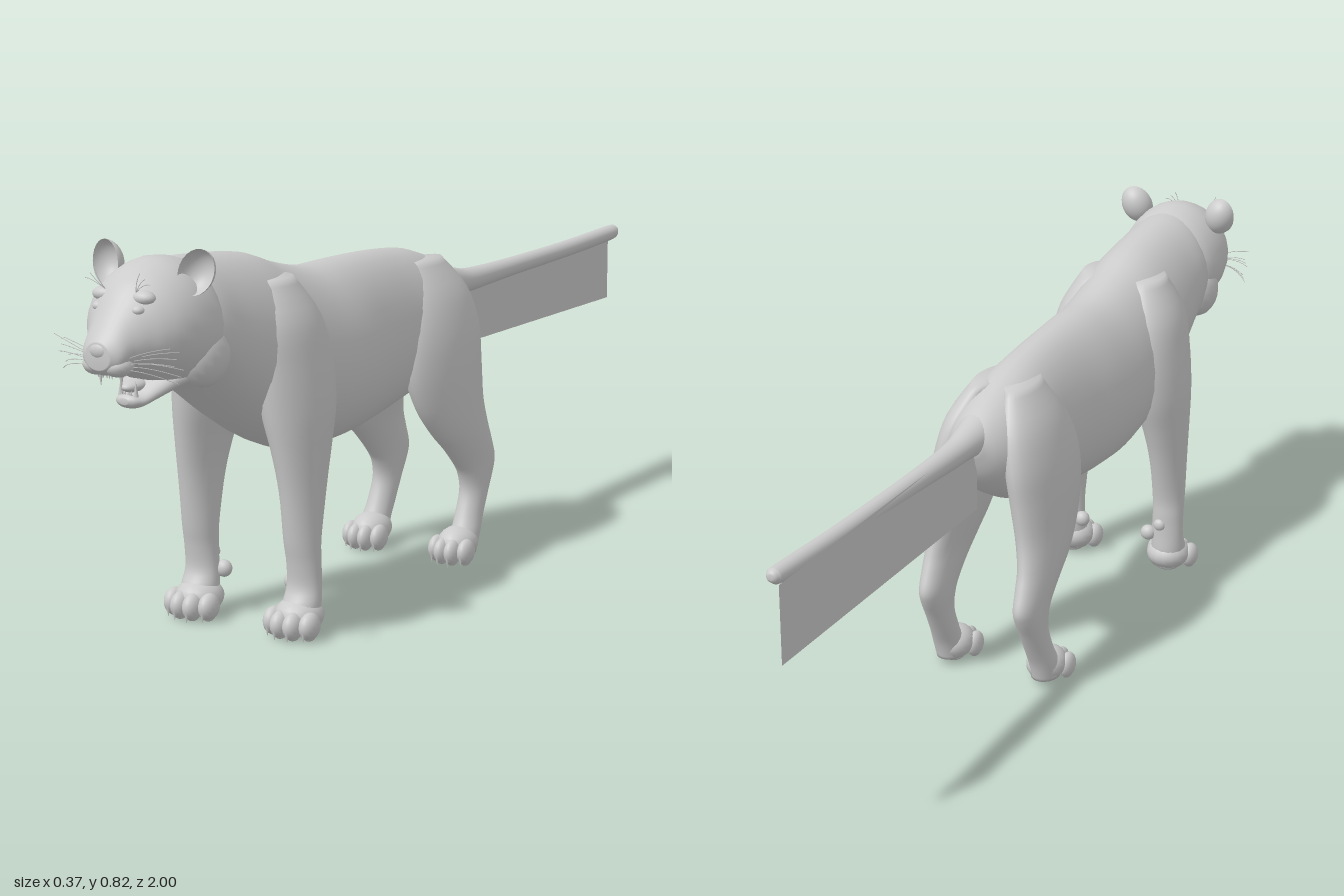
import * as THREE from 'three';

const grey = new THREE.MeshStandardMaterial({ color: 0xcccccc });
const greyDouble = new THREE.MeshStandardMaterial({ color: 0xcccccc, side: THREE.DoubleSide });
const SIDES = 28, STEPS = 4;

function add(parent, name, geometry, material = grey) {
  const mesh = new THREE.Mesh(geometry, material);
  mesh.name = name;
  parent.add(mesh);
  return mesh;
}

function catmull(a, b, c, d, t) {
  return 0.5 * (2 * b + (c - a) * t + (2 * a - 5 * b + 4 * c - d) * t * t + (3 * b - a - 3 * c + d) * t ** 3);
}

// Smooth closed skin through the rows; ring(row, angle) gives a point on each cross-section
function loft(rows, ring) {
  const fine = [], last = rows.length - 1;
  for (let i = 0; i < last; i++)
    for (let k = 0; k < STEPS; k++)
      fine.push(rows[i].map((v, c) => catmull(rows[Math.max(i - 1, 0)][c], v, rows[i + 1][c],
        rows[Math.min(i + 2, last)][c], k / STEPS)));
  fine.push(rows[last]);
  const pos = [], index = [];
  for (const row of fine)
    for (let j = 0; j < SIDES; j++) pos.push(...ring(row, j / SIDES * Math.PI * 2));
  const n = fine.length, start = n * SIDES;
  for (const row of [fine[0], fine[n - 1]]) {
    const p = ring(row, 0), q = ring(row, Math.PI);
    pos.push(...p.map((v, i) => (v + q[i]) / 2));
  }
  for (let j = 0; j < SIDES; j++) {
    const k = (j + 1) % SIDES, top = (n - 1) * SIDES;
    for (let i = 0; i < n - 1; i++) {
      const a = i * SIDES + j, b = i * SIDES + k;
      index.push(a, b, b + SIDES, a, b + SIDES, a + SIDES);
    }
    index.push(start, k, j, start + 1, top + j, top + k);
  }
  const g = new THREE.BufferGeometry();
  g.setAttribute('position', new THREE.Float32BufferAttribute(pos, 3));
  g.setIndex(index);
  g.computeVertexNormals();
  return g;
}

// Rows [z, top, bottom, halfWidth], narrower upward by taper
const loftZ = (rows, taper = 0) => loft(rows, ([z, t, b, w], a) =>
  [w * Math.cos(a) * (1 - taper * Math.sin(a)), (t + b) / 2 + (t - b) / 2 * Math.sin(a), z]);

// Rows [y, zBack, zFront, xInner, xOuter], placed on side s
const loftY = (rows, s) => loft(rows, ([y, z0, z1, x0, x1], a) =>
  [s * (x0 + x1) / 2 + (x1 - x0) / 2 * Math.cos(a), y, (z0 + z1) / 2 - (z1 - z0) / 2 * Math.sin(a)]);

function ball(parent, name, [x, y, z], [rx, ry, rz]) {
  const g = new THREE.SphereGeometry(1, 18, 12).scale(rx, ry, rz);
  add(parent, name, g).position.set(x, y, z);
}

function hair(parent, name, from, mid, to) {
  const curve = new THREE.QuadraticBezierCurve3(...[from, mid, to].map(p => new THREE.Vector3(...p)));
  add(parent, name, new THREE.TubeGeometry(curve, 6, 0.0008, 3));
}

function cone(parent, name, [x, y, z], r, h, down) {
  const mesh = add(parent, name, new THREE.ConeGeometry(r, h, 8));
  mesh.position.set(x, y, z);
  if (down) mesh.rotation.x = Math.PI;
}

// Foot with four toes, claws and underside pads; z is the middle of the foot
function paw(parent, name, s, x, z, k) {
  const g = new THREE.Group();
  g.name = name;
  g.position.set(s * x, 0, z);
  parent.add(g);
  ball(g, 'foot', [0, 0.045, -0.005], [0.05 * k, 0.037, 0.052]);
  ball(g, 'heelPad', [0, 0.018, -0.012], [0.03 * k, 0.014, 0.025]);
  [-0.043, -0.015, 0.015, 0.043].forEach((tx, i) => {
    const forward = i % 3 ? 0.038 : 0.022;
    ball(g, 'toe', [tx * k, 0.034, forward], [0.019 * k, 0.028, 0.028]);
    ball(g, 'toePad', [tx * k, 0.013, forward], [0.011 * k, 0.009, 0.015]);
    cone(g, 'claw', [tx * k, 0.016, forward + 0.022], 0.005, 0.022, true);
  });
}

const bodyRows = [
  [-0.235, 0.605, 0.56, 0.025], [-0.21, 0.628, 0.50, 0.06], [-0.15, 0.657, 0.44, 0.09],
  [-0.05, 0.69, 0.39, 0.105], [0.05, 0.704, 0.365, 0.105], [0.15, 0.709, 0.348, 0.112],
  [0.25, 0.71, 0.338, 0.125], [0.35, 0.712, 0.338, 0.13], [0.45, 0.735, 0.355, 0.13],
  [0.53, 0.762, 0.39, 0.13], [0.60, 0.775, 0.43, 0.125], [0.68, 0.784, 0.485, 0.117],
  [0.75, 0.788, 0.535, 0.112], [0.81, 0.785, 0.565, 0.09]];
const headRows = [
  [0.72, 0.765, 0.57, 0.085], [0.76, 0.788, 0.55, 0.114], [0.82, 0.798, 0.55, 0.12],
  [0.87, 0.787, 0.57, 0.112], [0.905, 0.768, 0.588, 0.094], [0.93, 0.745, 0.596, 0.073],
  [0.955, 0.712, 0.597, 0.055], [0.98, 0.678, 0.598, 0.045], [0.995, 0.66, 0.61, 0.028]];
const jawRows = [
  [0.80, 0.61, 0.55, 0.085], [0.84, 0.595, 0.538, 0.066], [0.87, 0.572, 0.528, 0.048],
  [0.895, 0.552, 0.521, 0.034], [0.912, 0.549, 0.524, 0.024], [0.92, 0.543, 0.531, 0.01]];
const frontLegRows = [
  [0.02, 0.49, 0.56, 0.085, 0.16], [0.06, 0.485, 0.565, 0.085, 0.165], [0.10, 0.485, 0.546, 0.088, 0.163],
  [0.15, 0.483, 0.55, 0.09, 0.162], [0.20, 0.48, 0.56, 0.088, 0.162], [0.30, 0.455, 0.575, 0.083, 0.164],
  [0.38, 0.43, 0.59, 0.07, 0.166], [0.46, 0.405, 0.605, 0.05, 0.167], [0.55, 0.40, 0.615, 0.04, 0.158],
  [0.64, 0.42, 0.615, 0.03, 0.14], [0.72, 0.47, 0.58, 0.02, 0.095]];
const hindLegRows = [
  [0.02, -0.145, -0.07, 0.085, 0.145], [0.06, -0.158, -0.083, 0.085, 0.147], [0.10, -0.178, -0.103, 0.085, 0.143],
  [0.15, -0.205, -0.12, 0.085, 0.141], [0.19, -0.228, -0.112, 0.082, 0.142], [0.22, -0.236, -0.09, 0.08, 0.143],
  [0.26, -0.222, -0.05, 0.076, 0.146], [0.30, -0.207, -0.005, 0.07, 0.148], [0.36, -0.196, 0.04, 0.055, 0.148],
  [0.44, -0.20, 0.07, 0.04, 0.145], [0.52, -0.205, 0.07, 0.03, 0.135], [0.60, -0.185, 0.04, 0.02, 0.11],
  [0.67, -0.13, 0.0, 0.01, 0.065]];

export function createModel() {
  const model = new THREE.Group();
  model.name = 'bigCat';
  add(model, 'body', loftZ(bodyRows, 0.12));

  const head = new THREE.Group();
  head.name = 'head';
  model.add(head);
  add(head, 'skull', loftZ(headRows, 0.08));
  add(head, 'lowerJaw', loftZ(jawRows));
  ball(head, 'nose', [0, 0.646, 0.986], [0.024, 0.017, 0.013]);
  ball(head, 'tongue', [0, 0.562, 0.885], [0.02, 0.012, 0.035]);

  for (const s of [1, -1]) {
    const side = s > 0 ? 'left' : 'right';
    // Face
    ball(head, side + 'Eye', [s * 0.045, 0.715, 0.927], [0.014, 0.01, 0.014]);
    ball(head, side + 'Brow', [s * 0.045, 0.736, 0.912], [0.026, 0.014, 0.018]);
    ball(head, side + 'UpperLip', [s * 0.024, 0.615, 0.962], [0.028, 0.021, 0.03]);
    ball(head, side + 'Cheek', [s * 0.08, 0.61, 0.775], [0.043, 0.062, 0.06]);
    cone(head, side + 'UpperFang', [s * 0.024, 0.588, 0.955], 0.006, 0.036, true);
    cone(head, side + 'LowerFang', [s * 0.018, 0.56, 0.905], 0.005, 0.03, false);
    for (let i = 0; i < 3; i++) {
      cone(head, 'upperTooth', [s * (0.004 + 0.006 * i), 0.596, 0.972], 0.003, 0.012, true);
      cone(head, 'lowerTooth', [s * (0.003 + 0.004 * i), 0.552, 0.91], 0.002, 0.01, false);
    }
    // Cupped ear, open to the front
    const earShell = new THREE.SphereGeometry(1, 24, 10, 0, Math.PI * 2, 0, Math.PI / 2)
      .rotateX(-Math.PI / 2).scale(0.036, 0.045, 0.036);
    const ear = add(head, side + 'Ear', earShell, greyDouble);
    ear.position.set(s * 0.106, 0.777, 0.832);
    ear.rotation.set(-0.15, s * 0.2, -s * 0.35);
    // Whiskers on lip and brow
    for (let i = 0; i < 7; i++) {
      const v = (i - 3) / 3, z = 0.96 - 0.012 * (i % 3);
      hair(head, side + 'Whisker', [s * 0.04, 0.618 + 0.01 * v, z],
        [s * 0.09, 0.632 + 0.018 * v, z + 0.01], [s * 0.135, 0.622 + 0.035 * v, z - 0.02 + 0.012 * v]);
    }
    for (let i = 0; i < 3; i++)
      hair(head, side + 'BrowWhisker', [s * 0.035, 0.745, 0.92],
        [s * (0.045 + 0.008 * i), 0.768, 0.935], [s * (0.052 + 0.012 * i), 0.785 - 0.01 * i, 0.93]);
    // Legs
    add(model, side + 'FrontLeg', loftY(frontLegRows, s));
    paw(model, side + 'FrontPaw', s, 0.123, 0.535, 1);
    ball(model, side + 'DewPad', [s * 0.085, 0.10, 0.497], [0.018, 0.018, 0.016]);
    ball(model, side + 'WristPad', [s * 0.118, 0.13, 0.485], [0.014, 0.014, 0.01]);
    add(model, side + 'HindLeg', loftY(hindLegRows, s));
    paw(model, side + 'HindPaw', s, 0.112, -0.092, 0.85);
  }

  // Tail, with the thin flat panel hanging below it
  add(model, 'tail', loft([
    [-0.99, 0.606, 0.006], [-0.982, 0.605, 0.014], [-0.95, 0.602, 0.018], [-0.75, 0.593, 0.019], [-0.5, 0.587, 0.021],
    [-0.32, 0.584, 0.026], [-0.25, 0.588, 0.032], [-0.18, 0.595, 0.045]],
  ([z, y, r], a) => [0.004 - 0.012 * (z + 0.2) + r * Math.cos(a), y + r * Math.sin(a), z]));
  const panel = add(model, 'tailPanel', new THREE.PlaneGeometry(0.78, 0.165).rotateY(Math.PI / 2), greyDouble);
  panel.position.set(-0.01, 0.518, -0.61);
  return model;
}
